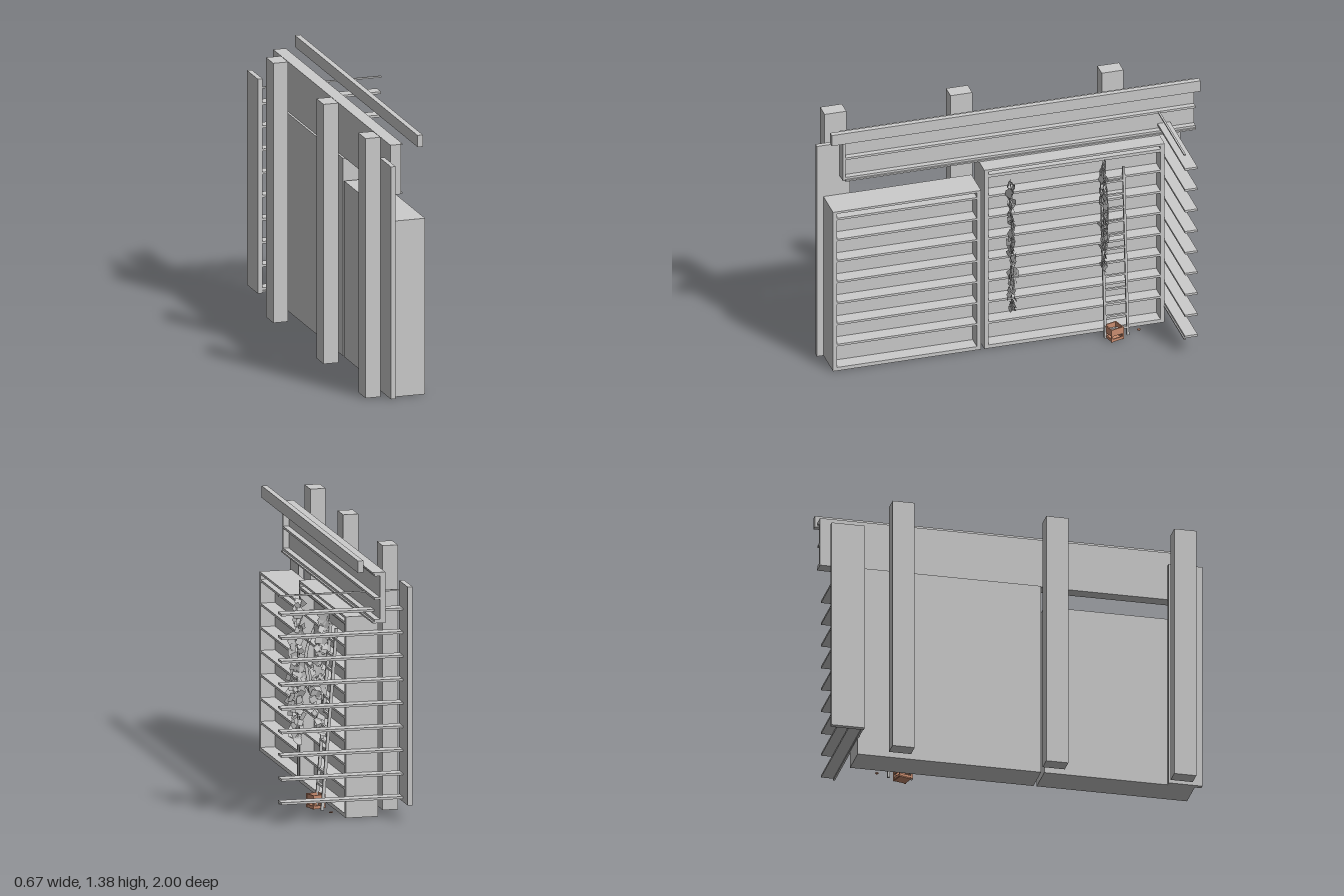
import * as THREE from 'three';

const grey = new THREE.MeshStandardMaterial({ name: 'paleGrey', color: 0xcccccc });
const leafGrey = new THREE.MeshStandardMaterial({ name: 'leafGrey', color: 0xcccccc, side: THREE.DoubleSide });
const clay = new THREE.MeshStandardMaterial({ name: 'clayBrown', color: 0xc98d70 });

// Box given by its min and max on each axis
function box(parent, name, [x0, x1], [y0, y1], [z0, z1], mat = grey) {
  const m = new THREE.Mesh(new THREE.BoxGeometry(x1 - x0, y1 - y0, z1 - z0), mat);
  m.position.set((x0 + x1) / 2, (y0 + y1) / 2, (z0 + z1) / 2);
  m.name = name;
  parent.add(m);
  return m;
}

function group(parent, name) {
  const g = new THREE.Group();
  g.name = name;
  parent.add(g);
  return g;
}

function seeded(seed) {
  return () => (seed = (seed * 16807) % 2147483647) / 2147483647;
}

// Wall unit: solid back with a shallow framed front and thin shelves
function wallUnit(parent, name, height, z0, z1) {
  const g = group(parent, name);
  const front = [-0.1, -0.024];
  box(g, 'backBody', [-0.195, -0.1], [0, height], [z0, z1]);
  box(g, 'sideFrame', front, [0, height], [z0, z0 + 0.022]);
  box(g, 'sideFrame', front, [0, height], [z1 - 0.022, z1]);
  box(g, 'topFrame', front, [height - 0.012, height], [z0, z1]);
  box(g, 'bottomFrame', front, [0, 0.02], [z0, z1]);
  for (let y = 0.15; y < height - 0.03; y += 0.1235)
    box(g, 'shelf', front, [y - 0.006, y + 0.006], [z0 + 0.02, z1 - 0.02]);
  box(g, 'upperRail', [-0.1, -0.03], [height - 0.05, height - 0.04], [z0 + 0.02, z1 - 0.02]);
}

// Hanging vine: a stem, looping tendrils and many small leaves turned to the front
function vine(parent, name, z, yLow, yHigh, count, seed) {
  const g = group(parent, name);
  const rnd = seeded(seed);
  const leaf = new THREE.PlaneGeometry(1, 1);
  for (let i = 0; i < count; i++) {
    const t = (i + rnd()) / count;
    const reach = 0.035 + 0.05 * Math.sin(Math.PI * Math.min(1, t + 0.12));
    const m = new THREE.Mesh(leaf, leafGrey);
    m.name = 'leaf';
    m.position.set(-0.01 + rnd() * reach, yLow + 0.02 + t * (yHigh - yLow - 0.04), z + (rnd() - 0.5) * 0.03);
    m.rotation.set((rnd() - 0.5) * 0.9, (rnd() - 0.5) * 1.1, rnd() * Math.PI);
    const s = 0.024 + rnd() * 0.018;
    m.scale.set(s, s * (0.7 + rnd() * 0.4), 1);
    g.add(m);
  }
  const strand = (bulge, y0, y1, base) => {
    const pts = [[base, y1], [base + bulge * 0.8, y1 * 0.7 + y0 * 0.3], [base + bulge, (y0 + y1) / 2], [base + bulge * 0.5, y0]];
    const curve = new THREE.CatmullRomCurve3(pts.map(([x, y]) => new THREE.Vector3(x, y, z)));
    const m = new THREE.Mesh(new THREE.TubeGeometry(curve, 16, 0.0015, 5), grey);
    m.name = 'vineStem';
    g.add(m);
  };
  strand(0.02, yLow, yHigh, 0);
  if (yLow > 0.3) {
    strand(0.055, 0.58, 0.95, 0.052);
    strand(0.04, 0.62, 0.92, 0.052);
  }
}

export function createModel() {
  const model = new THREE.Group();
  model.name = 'shelvedWall';

  // Rear posts
  for (const z of [-0.597, 0.21, 0.882])
    box(model, 'rearPost', [-0.337, -0.257], [0, 1.38], [z - 0.058, z + 0.058]);

  // Wall units
  wallUnit(model, 'lowWallUnit', 0.935, 0.175, 0.965);
  wallUnit(model, 'tallWallUnit', 1.05, -0.805, 0.158);

  // Upright end boards
  box(model, 'frontEndBoard', [-0.22, -0.195], [0, 1.235], [0.822, 1]);
  box(model, 'rearEndBoard', [-0.333, -0.307], [0.085, 1.225], [-0.975, -0.8]);

  // Long header board with ledges
  const header = group(model, 'headerBoard');
  const hz = [-1, 0.882];
  box(header, 'headerBack', [-0.183, -0.155], [1.05, 1.315], hz);
  box(header, 'headerTop', [-0.155, -0.125], [1.295, 1.315], hz);
  box(header, 'headerLedge', [-0.155, -0.125], [1.172, 1.184], hz);
  box(header, 'headerBottom', [-0.155, -0.125], [1.05, 1.07], hz);
  box(header, 'headerEnd', [-0.155, -0.125], [1.05, 1.315], [0.868, 0.882]);
  for (const y of [1.05, 1.307])
    box(header, 'headerLip', [-0.126, -0.115], [y, y + 0.008], [-1, 0.87]);

  // Free top rail
  box(model, 'topRail', [-0.066, -0.037], [1.318, 1.38], [-1, 0.968]);

  // Outrigger slats with a thin bar above and below
  const slats = group(model, 'outriggerSlats');
  for (let i = 0; i < 9; i++) {
    const y = 0.106 + i * 0.123;
    box(slats, 'slat', [-0.31, 0.333], [y - 0.006, y + 0.006], [-0.873, -0.806]);
  }
  for (const y of [0.095, 1.177])
    box(slats, 'thinBar', [-0.31, 0.333], [y - 0.004, y + 0.004], [-0.81, -0.8]);

  // Leaning ladder
  const ladder = group(model, 'ladder');
  ladder.position.set(0.045, 0, -0.527);
  ladder.rotation.z = 0.08;
  for (const s of [-1, 1])
    box(ladder, 'ladderRail', [-0.008, 0.008], [0, 0.95], [s * 0.06 - 0.006, s * 0.06 + 0.006]);
  for (let i = 0; i < 12; i++) {
    const y = 0.045 + i * 0.0755;
    box(ladder, 'rung', [-0.007, 0.007], [y - 0.005, y + 0.005], [-0.06, 0.06]);
  }

  // Small slatted crate
  const crate = group(model, 'crate');
  crate.position.set(0.058, 0, -0.509);
  crate.rotation.y = 0.28;
  const h = 0.033;
  box(crate, 'crateFloor', [-h, h], [0, 0.006], [-h, h], clay);
  for (const [y0, y1] of [[0.004, 0.017], [0.034, 0.072]])
    for (const s of [-1, 1]) {
      const side = [s * h - 0.003, s * h + 0.003];
      box(crate, 'crateSlat', side, [y0, y1], [-h, h], clay);
      box(crate, 'crateSlat', [-h, h], [y0, y1], side, clay);
    }
  for (const x of [-1, 1])
    for (const z of [-1, 1])
      box(crate, 'cratePost', [x * h - 0.004, x * h + 0.004], [0, 0.072], [z * h - 0.004, z * h + 0.004], clay);

  // Loose chip lying on the ground
  const chip = box(model, 'looseChip', [0.008, 0.022], [0, 0.005], [-0.662, -0.648], clay);
  chip.rotation.y = Math.PI / 4;

  // Vines
  vine(model, 'frontVine', 0.026, 0.21, 0.99, 100, 71);
  vine(model, 'rearVine', -0.465, 0.36, 1.02, 95, 1234);

  return model;
}
